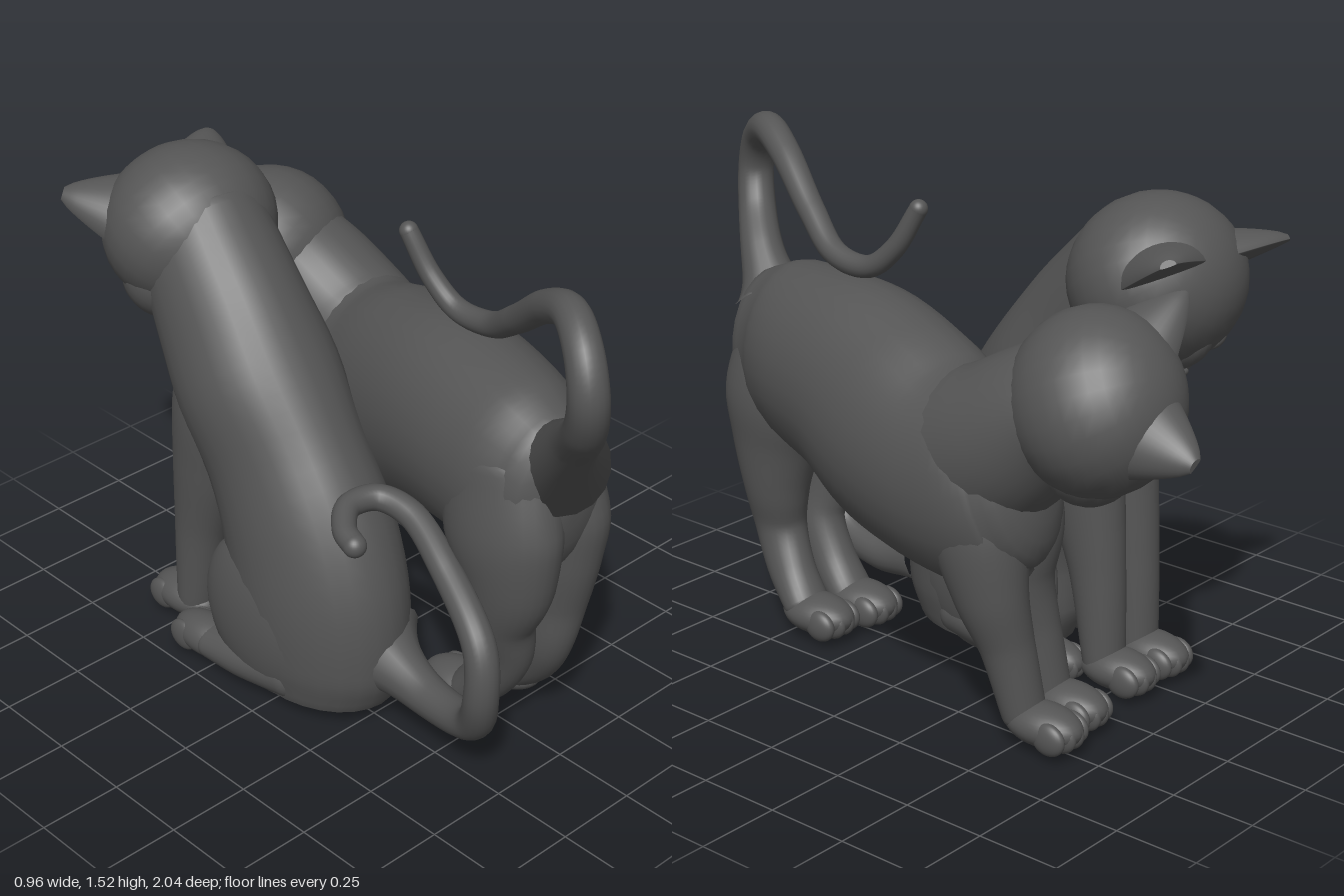
import * as THREE from 'three';

const material = new THREE.MeshStandardMaterial({ color: 0x555555 });
const V = (x, y, z) => new THREE.Vector3(x, y, z);

function add(parent, name, geometry) {
  const mesh = new THREE.Mesh(geometry, material);
  mesh.name = name;
  parent.add(mesh);
  return mesh;
}

function ball(parent, name, [x, y, z], [rx, ry, rz]) {
  const mesh = add(parent, name, new THREE.SphereGeometry(1, 28, 18));
  mesh.position.set(x, y, z);
  mesh.scale.set(rx, ry, rz);
  return mesh;
}

// Smooth skin over elliptical sections [x, y, z, half width, half depth], with domed ends
function loft(parent, name, sections, dome = 0.7, steps = 32, sides = 28) {
  const path = new THREE.CatmullRomCurve3(sections.map(s => V(s[0], s[1], s[2])));
  const size = new THREE.CatmullRomCurve3(sections.map(s => V(s[3], s[4], 0)));
  const positions = [], index = [], caps = 6;
  for (let i = -caps; i <= steps + caps; i++) {
    const t = THREE.MathUtils.clamp(i / steps, 0, 1);
    const over = i < 0 ? i / caps : i > steps ? (i - steps) / caps : 0;
    const tangent = path.getTangent(t), r = size.getPoint(t);
    const side = V(1, 0, 0).addScaledVector(tangent, -tangent.x).normalize();
    const other = tangent.clone().cross(side);
    const bulge = Math.sin(over * Math.PI / 2) * dome * Math.min(r.x, r.y);
    const shrink = Math.max(Math.cos(over * Math.PI / 2), 0.001);
    const centre = path.getPoint(t).addScaledVector(tangent, bulge);
    for (let k = 0; k < sides; k++) {
      const a = k / sides * Math.PI * 2;
      const p = centre.clone()
        .addScaledVector(side, Math.cos(a) * r.x * shrink)
        .addScaledVector(other, Math.sin(a) * r.y * shrink);
      positions.push(p.x, p.y, p.z);
    }
  }
  for (let i = 0; i < steps + 2 * caps; i++) {
    for (let k = 0; k < sides; k++) {
      const a = i * sides + k, b = i * sides + (k + 1) % sides;
      index.push(a, b, a + sides, b, b + sides, a + sides);
    }
  }
  const geometry = new THREE.BufferGeometry();
  geometry.setAttribute('position', new THREE.Float32BufferAttribute(positions, 3));
  geometry.setIndex(index);
  geometry.computeVertexNormals();
  add(parent, name, geometry);
}

// Tail along a curve, flared at the root and tapered to a rounded tip
function tail(parent, points, r0, r1) {
  const curve = new THREE.CatmullRomCurve3(points.map(p => V(...p)));
  const geometry = new THREE.TubeGeometry(curve, 100, 1, 18);
  const pos = geometry.attributes.position, p = V(0, 0, 0);
  for (let i = 0; i < pos.count; i++) {
    const t = Math.floor(i / 19) / 100, c = curve.getPointAt(t);
    const r = r0 + (r1 - r0) * t + 0.09 * Math.exp(-t * 22);
    p.fromBufferAttribute(pos, i).sub(c).multiplyScalar(r).add(c);
    pos.setXYZ(i, p.x, p.y, p.z);
  }
  add(parent, 'tail', geometry);
  ball(parent, 'tailTip', points[points.length - 1], [r1, r1, r1]);
}

// Foot pointing to -z with four toes
function paw(parent, x, z, w = 0.085) {
  ball(parent, 'paw', [x, 0.065, z], [w, 0.06, 0.125]);
  for (let i = -1.5; i <= 1.5; i++) {
    ball(parent, 'toe', [x + i * w * 0.44, 0.055, z - 0.075 + Math.abs(i) * 0.012], [w * 0.32, 0.048, 0.055]);
  }
}

// Broad cupped ear: a rounded cone with its front half pressed inwards
function earGeometry() {
  const geometry = new THREE.CylinderGeometry(1, 1, 0.29, 36, 14);
  const pos = geometry.attributes.position;
  for (let i = 0; i < pos.count; i++) {
    const t = pos.getY(i) / 0.29 + 0.5;
    const r = 0.18 * Math.pow(1 - t, 0.8) + 0.022 * t;
    const z = pos.getZ(i) * r;
    pos.setXYZ(i, pos.getX(i) * r, pos.getY(i), z > 0 ? z * 0.1 : z * 0.75);
  }
  geometry.computeVertexNormals();
  return geometry;
}

// Head modelled facing local +z, then turned to the given face and crown directions
function head(parent, centre, face, crown) {
  const group = new THREE.Group();
  group.name = 'head';
  ball(group, 'skull', [0, 0, 0], [0.262, 0.24, 0.24]);
  ball(group, 'muzzle', [0, -0.065, 0.15], [0.12, 0.095, 0.12]);
  ball(group, 'noseBridge', [0, 0.0, 0.16], [0.07, 0.12, 0.095]);
  ball(group, 'nose', [0, -0.035, 0.26], [0.026, 0.018, 0.014]);
  ball(group, 'chin', [0, -0.12, 0.16], [0.065, 0.045, 0.07]);
  for (const s of [-1, 1]) {
    ball(group, 'cheek', [s * 0.105, -0.07, 0.08], [0.135, 0.135, 0.135]);
    ball(group, 'whiskerPad', [s * 0.035, -0.075, 0.225], [0.05, 0.038, 0.04]);
    const eye = ball(group, 'eye', [s * 0.105, 0.035, 0.2], [0.043, 0.026, 0.025]);
    eye.rotation.set(0, s * 0.45, s * 0.25);
    const ear = add(group, 'ear', earGeometry());
    ear.position.set(s * 0.165, 0.155, 0.02);
    ear.rotation.z = -s * 0.76;
  }
  const f = V(...face).normalize();
  const side = V(...crown).cross(f).normalize();
  const up = f.clone().cross(side);
  group.quaternion.setFromRotationMatrix(new THREE.Matrix4().makeBasis(side, up, f));
  group.position.set(...centre);
  parent.add(group);
}

function standingCat() {
  const cat = new THREE.Group();
  cat.name = 'standingCat';
  loft(cat, 'torso', [
    [0, 0.83, 0.66, 0.175, 0.25], [0.02, 0.835, 0.55, 0.215, 0.285], [0.065, 0.845, 0.4, 0.24, 0.29],
    [0.12, 0.83, 0.2, 0.25, 0.31], [0.18, 0.775, 0, 0.255, 0.325], [0.23, 0.73, -0.2, 0.24, 0.31],
    [0.255, 0.73, -0.36, 0.215, 0.31], [0.25, 0.75, -0.43, 0.185, 0.26]], 0.6);
  loft(cat, 'neck', [
    [0.25, 0.76, -0.24, 0.2, 0.24], [0.25, 0.85, -0.4, 0.205, 0.225], [0.23, 0.95, -0.54, 0.2, 0.2],
    [0.21, 1.0, -0.66, 0.19, 0.19]]);
  head(cat, [0.2, 1.01, -0.68], [-0.75, -0.65, -0.04], [-0.3, 0.41, -0.86]);

  // Hind legs: x at thigh, knee, hock and foot, and offset in z
  for (const [thigh, knee, hock, foot, dz] of [[0.1, 0.1, 0.09, 0.13, 0], [-0.085, -0.075, -0.045, -0.03, -0.03]]) {
    loft(cat, 'hindLeg', [
      [thigh * 0.7, 0.9, 0.55, 0.12, 0.18], [thigh, 0.72, 0.58, 0.125, 0.195], [thigh, 0.57, 0.6, 0.11, 0.155],
      [knee, 0.42, 0.605 + dz, 0.09, 0.11], [hock, 0.29, 0.6 + dz, 0.072, 0.085],
      [(hock + foot) / 2, 0.17, 0.54 + dz, 0.07, 0.075], [foot, 0.08, 0.46 + dz, 0.075, 0.06]]);
    paw(cat, foot, 0.41 + dz);
  }
  // Front legs: x at foot and shoulder, and offset in z
  for (const [x, top, dz] of [[0.265, 0.32, 0], [0.115, 0.17, 0.03]]) {
    loft(cat, 'frontLeg', [
      [top, 0.78, -0.34, 0.12, 0.15], [top, 0.6, -0.385, 0.125, 0.145], [top, 0.43, -0.425 + dz, 0.1, 0.11],
      [(x + top) / 2, 0.28, -0.46 + dz, 0.078, 0.078], [x, 0.08, -0.5 + dz, 0.068, 0.06]]);
    paw(cat, x, -0.57 + dz, 0.08);
  }
  tail(cat, [
    [0, 0.94, 0.68], [-0.07, 1.08, 0.81], [-0.15, 1.2, 0.91], [-0.18, 1.31, 0.94], [-0.16, 1.41, 0.9], [-0.1, 1.46, 0.8],
    [-0.04, 1.41, 0.67], [0.03, 1.28, 0.5], [0.08, 1.19, 0.36], [0.09, 1.18, 0.22], [0.08, 1.25, 0.13], [0.06, 1.37, 0.06]],
  0.066, 0.027);
  return cat;
}

function sittingCat() {
  const cat = new THREE.Group();
  cat.name = 'sittingCat';
  loft(cat, 'torso', [
    [-0.25, 0.04, 0.02, 0.19, 0.26], [-0.25, 0.15, 0.02, 0.215, 0.3], [-0.25, 0.32, 0.02, 0.225, 0.3],
    [-0.24, 0.5, -0.03, 0.225, 0.285], [-0.23, 0.7, -0.14, 0.215, 0.26], [-0.22, 0.88, -0.26, 0.235, 0.25],
    [-0.21, 1.05, -0.38, 0.215, 0.235], [-0.19, 1.2, -0.5, 0.2, 0.21], [-0.18, 1.27, -0.56, 0.19, 0.2]], 0.12);
  head(cat, [-0.18, 1.24, -0.59], [0.08, -0.85, -0.5], [0, 0.5, -0.85]);

  // Haunches and hind feet
  for (const s of [-1, 1]) {
    const x = -0.25 + s * 0.13;
    const haunch = ball(cat, 'haunch', [x, 0.25, -0.05], [0.105, 0.26, 0.25]);
    haunch.rotation.x = -0.2;
    loft(cat, 'hindFoot', [[x, 0.1, 0.05, 0.08, 0.08], [x + s * 0.02, 0.08, -0.12, 0.08, 0.07], [x + s * 0.03, 0.065, -0.26, 0.07, 0.055]]);
    paw(cat, x + s * 0.03, -0.3, 0.07);
  }
  // Front legs
  for (const x of [-0.31, -0.15]) {
    loft(cat, 'frontLeg', [
      [x, 0.95, -0.33, 0.1, 0.13], [x, 0.78, -0.35, 0.11, 0.14], [x, 0.58, -0.385, 0.098, 0.12],
      [x, 0.35, -0.43, 0.078, 0.085], [x, 0.08, -0.46, 0.068, 0.06]]);
    paw(cat, x, -0.51, 0.08);
  }
  tail(cat, [
    [-0.22, 0.2, 0.24], [-0.22, 0.14, 0.46], [-0.25, 0.18, 0.64], [-0.29, 0.32, 0.71], [-0.28, 0.47, 0.69], [-0.22, 0.6, 0.5],
    [-0.18, 0.68, 0.32], [-0.21, 0.7, 0.22], [-0.3, 0.7, 0.2], [-0.37, 0.68, 0.26], [-0.39, 0.67, 0.32]], 0.06, 0.034);
  return cat;
}

export function createModel() {
  const model = new THREE.Group();
  model.name = 'twoCats';
  model.add(standingCat(), sittingCat());
  return model;
}
